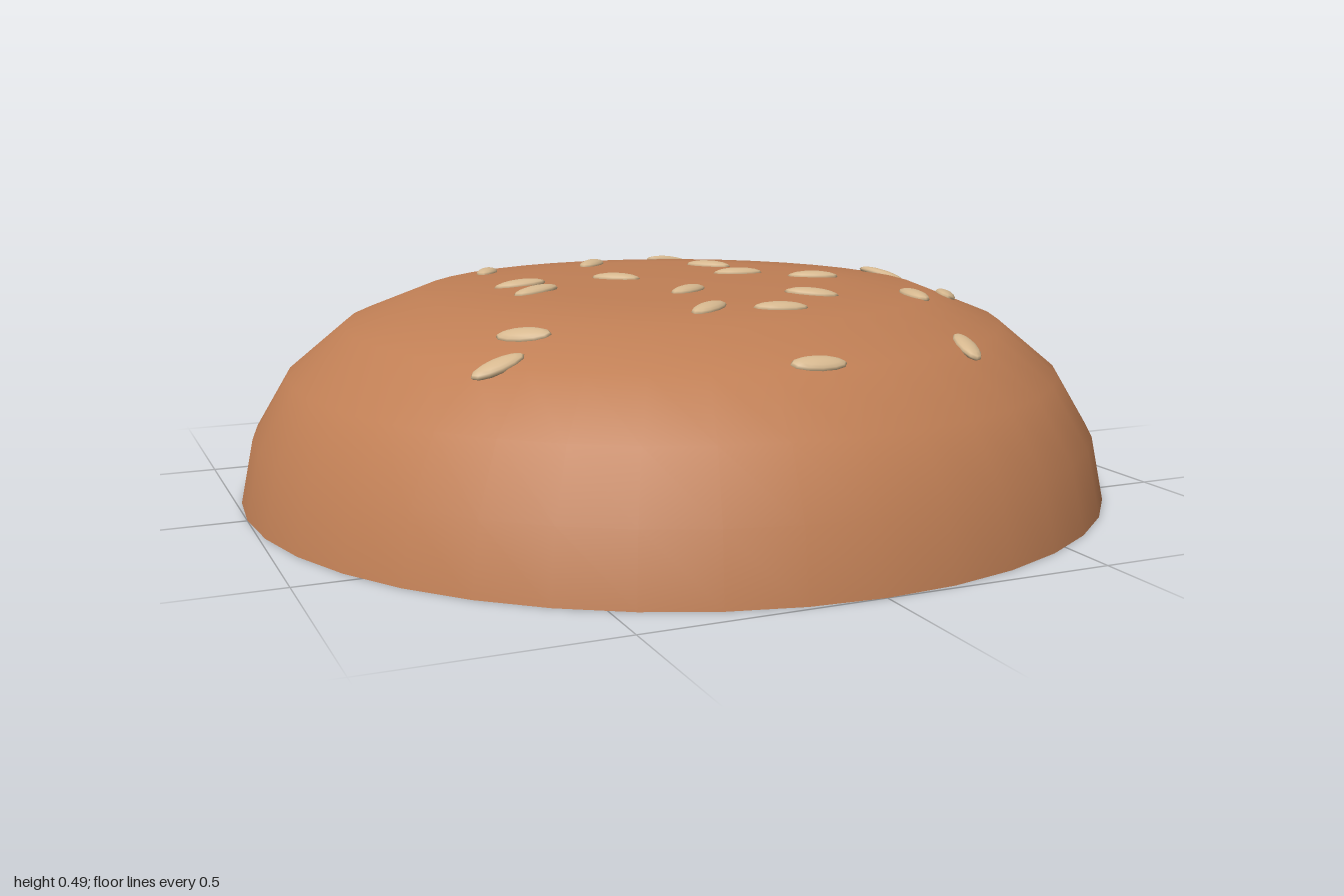
import * as THREE from 'three';

// Dome profile: radius, height
const PROFILE = [[1, 0], [0.97, 0.145], [0.89, 0.28], [0.76, 0.388], [0.59, 0.455], [0.36, 0.475], [0, 0.478]];

// Seeds: x, z, heading in degrees
const SEEDS = [
  [-0.08, -0.74, -5], [0.23, -0.565, 0], [0.49, -0.52, 12], [-0.61, -0.515, 55],
  [-0.33, -0.4, 65], [-0.07, -0.35, 50], [0.19, -0.21, -50], [-0.36, -0.045, -5],
  [-0.12, -0.055, -42], [0.19, -0.04, -10], [0.6, -0.055, -48], [-0.36, 0.07, 20],
  [0.33, 0.08, -22], [0.615, 0.215, 62], [-0.05, 0.205, 35], [0.19, 0.335, -28],
  [0.445, 0.35, 85], [-0.5, 0.405, -38], [-0.58, 0.485, 8], [-0.1, 0.425, 35],
  [0.05, 0.46, -12], [0.39, 0.65, 80], [-0.01, 0.74, -5],
];

// Height and slope of the dome at radius r
function surfaceAt(r) {
  const i = PROFILE.findIndex((p) => p[0] <= r);
  const [r0, y0] = PROFILE[i - 1], [r1, y1] = PROFILE[i];
  const slope = (y1 - y0) / (r1 - r0);
  return { y: y0 + (r - r0) * slope, slope };
}

export function createModel() {
  const group = new THREE.Group();
  group.name = 'bunTop';
  const crust = new THREE.MeshStandardMaterial({ color: 0xc07f55 });
  const seedMaterial = new THREE.MeshStandardMaterial({ color: 0xd6b88f });

  // Smooth domed crust
  const points = PROFILE.map(([r, y]) => new THREE.Vector2(r, y));
  const dome = new THREE.Mesh(new THREE.LatheGeometry(points, 40), crust);
  dome.name = 'dome';
  group.add(dome);

  // Flat cut underside
  const base = new THREE.Mesh(new THREE.CircleGeometry(1, 40, Math.PI / 2), crust);
  base.rotation.x = Math.PI / 2;
  base.name = 'underside';
  group.add(base);

  // Flattened seeds lying along the crust
  const seedGeometry = new THREE.SphereGeometry(1, 12, 8).scale(0.06, 0.013, 0.025);
  const up = new THREE.Vector3(0, 1, 0);
  const seeds = new THREE.Group();
  seeds.name = 'seeds';
  for (const [x, z, heading] of SEEDS) {
    const r = Math.hypot(x, z);
    const { y, slope } = surfaceAt(r);
    const normal = new THREE.Vector3(-slope * x / r, 1, -slope * z / r).normalize();
    const seed = new THREE.Mesh(seedGeometry, seedMaterial);
    seed.name = 'seed';
    seed.position.set(x, y, z);
    seed.quaternion.setFromUnitVectors(up, normal);
    seed.rotateY(THREE.MathUtils.degToRad(heading));
    seeds.add(seed);
  }
  group.add(seeds);
  return group;
}
